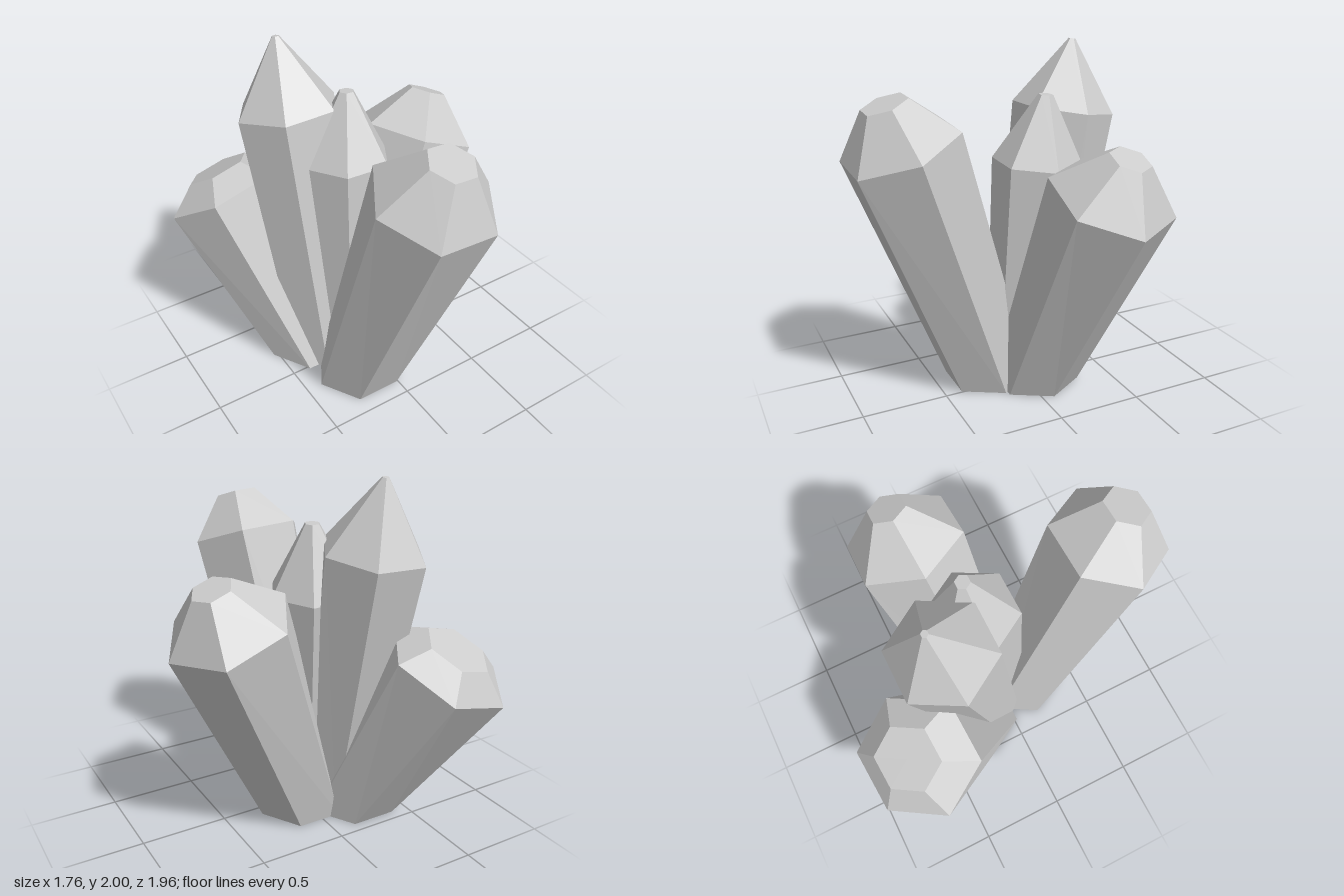
import * as THREE from 'three';

const SIDES = 6;
const UP = new THREE.Vector3(0, 1, 0);

// Hexagonal ring of points around a centre, square to the given axis
function ring(center, radius, axis) {
  const turn = new THREE.Quaternion().setFromUnitVectors(UP, axis);
  return Array.from({ length: SIDES }, (_, i) => {
    const a = (i / SIDES) * Math.PI * 2;
    return new THREE.Vector3(Math.cos(a) * radius, 0, Math.sin(a) * radius)
      .applyQuaternion(turn).add(center);
  });
}

// Leaning crystal: flat foot on the ground, tilted shoulder, small tip facet
function crystalGeometry({ foot, shoulder, tip }) {
  const centers = [foot, shoulder, tip].map((s) => new THREE.Vector3(s[0], s[1], s[2]));
  const axis = centers[1].clone().sub(centers[0]).normalize();
  const rings = [
    ring(centers[0], foot[3], UP),
    ring(centers[1], shoulder[3], axis),
    ring(centers[2], tip[3], axis),
  ];
  const points = [];
  for (let i = 0; i < SIDES; i++) {
    const j = (i + 1) % SIDES;
    for (let k = 0; k < 2; k++) {
      const low = rings[k], high = rings[k + 1];
      points.push(low[i], high[i], high[j], low[i], high[j], low[j]);
    }
    points.push(centers[0], rings[0][i], rings[0][j]);
    points.push(centers[2], rings[2][j], rings[2][i]);
  }
  const geometry = new THREE.BufferGeometry().setFromPoints(points);
  geometry.computeVertexNormals();
  return geometry;
}

export function createModel() {
  const group = new THREE.Group();
  group.name = 'crystalCluster';
  const material = new THREE.MeshStandardMaterial({ color: 0xcccccc, flatShading: true });

  // Each section is x, y, z, radius
  const crystals = {
    frontCrystal: {
      foot: [-0.14, 0, 0.17, 0.265], shoulder: [-0.04, 1.52, 0.69, 0.342], tip: [-0.015, 1.757, 0.77, 0.132],
    },
    leftCrystal: {
      foot: [0.02, 0, -0.07, 0.262], shoulder: [0.55, 1.28, -0.25, 0.352], tip: [0.65, 1.505, -0.285, 0.115],
    },
    backRightCrystal: {
      foot: [-0.265, 0, -0.21, 0.263], shoulder: [-0.53, 1.005, -0.695, 0.36], tip: [-0.54, 1.115, -0.75, 0.193],
    },
    tallCrystal: {
      foot: [-0.19, 0, -0.115, 0.22], shoulder: [-0.24, 1.6, -0.38, 0.3], tip: [-0.255, 1.997, -0.445, 0.02],
    },
    middleCrystal: {
      foot: [-0.08, 0, -0.01, 0.2], shoulder: [-0.035, 1.35, -0.11, 0.26], tip: [-0.005, 1.735, -0.145, 0.042],
    },
  };
  for (const [name, sections] of Object.entries(crystals)) {
    const mesh = new THREE.Mesh(crystalGeometry(sections), material);
    mesh.name = name;
    group.add(mesh);
  }
  return group;
}
